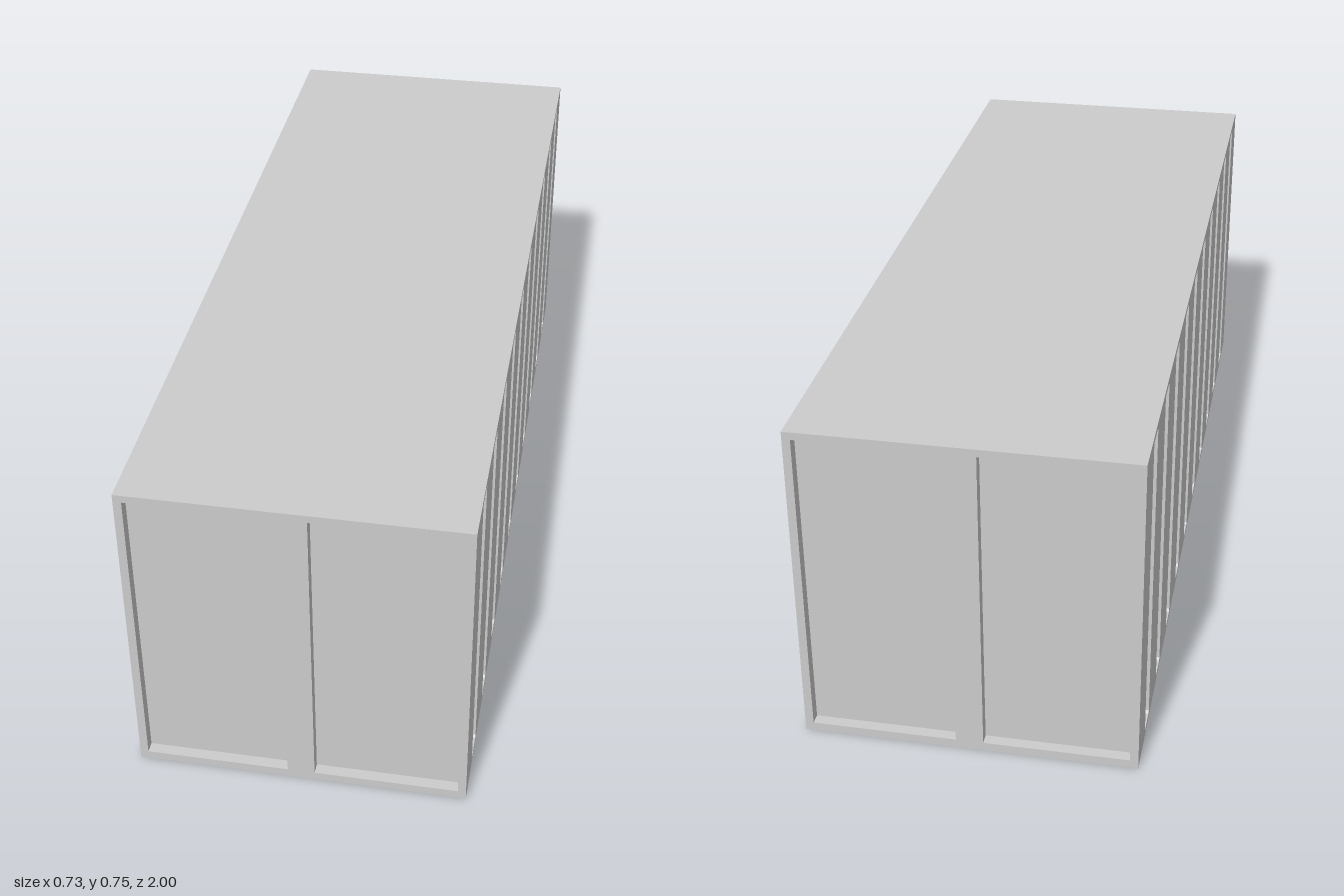
import * as THREE from 'three';

const W = 0.73, H = 0.75, L = 2;
const END = 0.025, SIDE = 0.018; // recess depths

// Closed outline centred on (cx, cy), with optional cut corners
function outline(Type, cx, cy, w, h, c = 0) {
  const x = w / 2, y = h / 2;
  const pts = c
    ? [[-x + c, -y], [x - c, -y], [x, -y + c], [x, y - c], [x - c, y], [-x + c, y], [-x, y - c], [-x, -y + c]]
    : [[-x, -y], [x, -y], [x, y], [-x, y]];
  return new Type(pts.map(([px, py]) => new THREE.Vector2(cx + px, cy + py)));
}

export function createModel() {
  const group = new THREE.Group();
  const material = new THREE.MeshStandardMaterial({ color: 0xcccccc, flatShading: true });
  const add = (name, geometry) => {
    const mesh = new THREE.Mesh(geometry, material);
    mesh.name = name;
    group.add(mesh);
    return mesh;
  };

  // Solid core: roof, floor and the bottoms of all recesses
  add('containerCore', new THREE.BoxGeometry(W - 2 * SIDE, H, L - 2 * END).translate(0, H / 2, 0));

  // End frames, each with two tall recessed door panels
  const endShape = outline(THREE.Shape, 0, H / 2, W, H);
  for (const s of [-1, 1]) endShape.holes.push(outline(THREE.Path, s * 0.1885, 0.3765, 0.317, 0.713));
  const endGeometry = new THREE.ExtrudeGeometry(endShape, { depth: END, bevelEnabled: false });
  endGeometry.translate(0, 0, L / 2 - END);
  add('frontDoorFrame', endGeometry);
  add('backDoorFrame', endGeometry).rotation.y = Math.PI;

  // Side walls, each with ten narrow upright grooves
  const sideShape = outline(THREE.Shape, 0, H / 2, L - 2 * END, H);
  for (let i = 0; i < 10; i++) {
    sideShape.holes.push(outline(THREE.Path, -0.86 + i * 1.72 / 9, 0.375, 0.065, 0.725, 0.005));
  }
  const sideGeometry = new THREE.ExtrudeGeometry(sideShape, { depth: SIDE, bevelEnabled: false });
  sideGeometry.translate(0, 0, W / 2 - SIDE);
  add('leftWall', sideGeometry).rotation.y = Math.PI / 2;
  add('rightWall', sideGeometry).rotation.y = -Math.PI / 2;

  return group;
}
